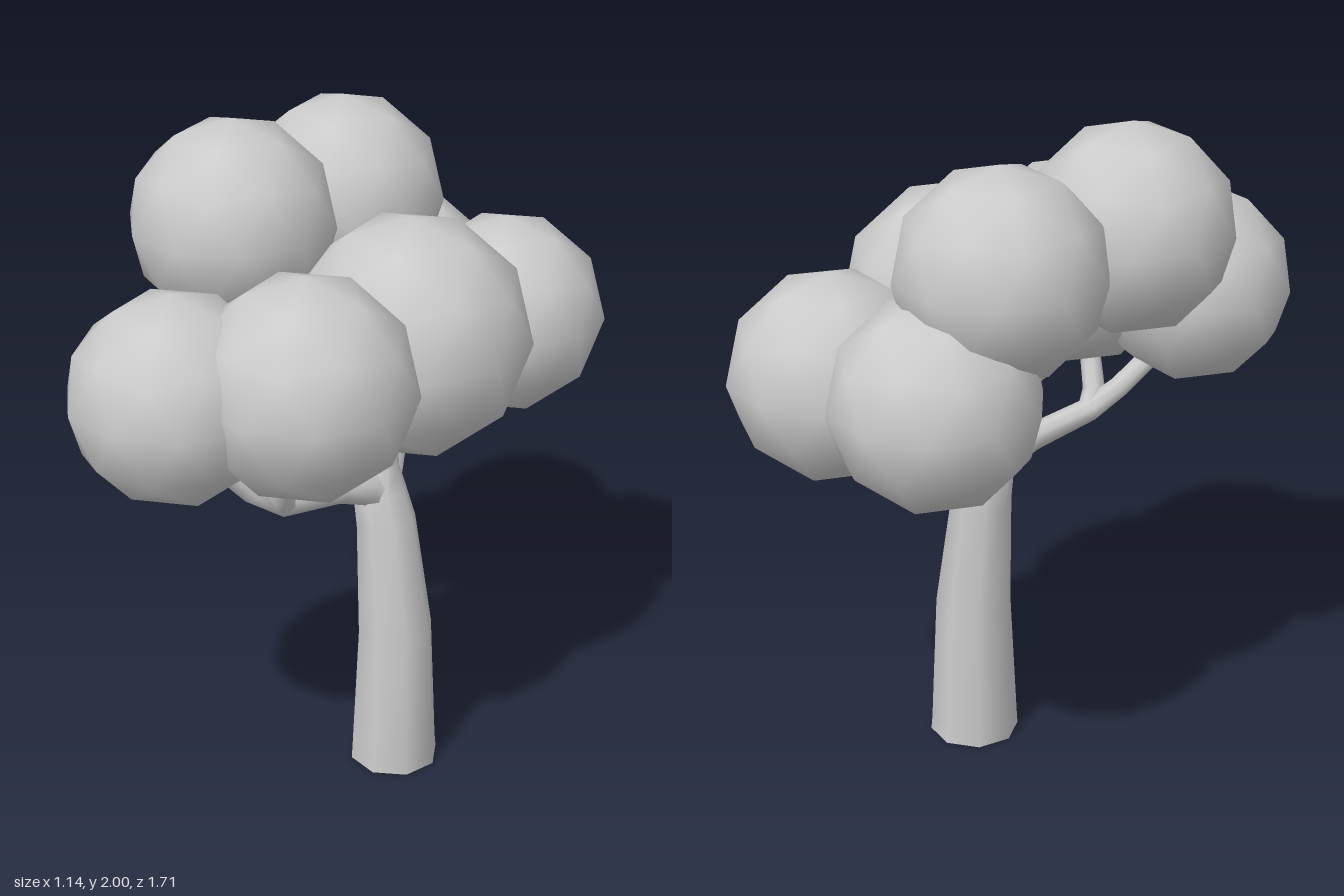
import * as THREE from 'three';

const material = new THREE.MeshStandardMaterial({ color: 0xcccccc });
const SIDES = 8;

// Smooth tapering limb through points [x, y, z, radius]
function limb(name, points) {
  const at = points.map(([x, y, z]) => new THREE.Vector3(x, y, z));
  const up = new THREE.Vector3(0, 1, 0);
  const positions = [], index = [];
  at.forEach((p, i) => {
    const before = at[Math.max(i - 1, 0)];
    const after = at[Math.min(i + 1, at.length - 1)];
    const dir = i === 0 && p.y === 0 ? up : after.clone().sub(before).normalize();
    const turn = new THREE.Quaternion().setFromUnitVectors(up, dir);
    for (let s = 0; s < SIDES; s++) {
      const a = (s / SIDES) * Math.PI * 2;
      const r = points[i][3];
      const v = new THREE.Vector3(Math.cos(a) * r, 0, Math.sin(a) * r).applyQuaternion(turn).add(p);
      positions.push(v.x, v.y, v.z);
      if (i > 0) {
        const n = (s + 1) % SIDES, lo = (i - 1) * SIDES, hi = i * SIDES;
        index.push(lo + s, hi + s, lo + n, lo + n, hi + s, hi + n);
      }
    }
  });
  const geometry = new THREE.BufferGeometry();
  geometry.setAttribute('position', new THREE.Float32BufferAttribute(positions, 3));
  geometry.setIndex(index);
  geometry.computeVertexNormals();
  const mesh = new THREE.Mesh(geometry, material);
  mesh.name = name;
  return mesh;
}

export function createModel() {
  const tree = new THREE.Group();
  tree.name = 'tree';

  // Leaning trunk with a flat underside
  tree.add(limb('trunk', [
    [0.185, 0, -0.06, 0.135], [0.184, 0.04, -0.06, 0.132], [0.183, 0.45, -0.06, 0.113],
    [0.148, 0.8, -0.06, 0.09], [0.125, 0.9, -0.06, 0.08], [0.135, 0.98, -0.06, 0.05],
    [0.145, 1.05, -0.06, 0.036], [0.16, 1.2, -0.06, 0.034],
  ]));
  const base = new THREE.Mesh(new THREE.CircleGeometry(0.135, SIDES).rotateX(Math.PI / 2), material);
  base.position.set(0.185, 0, -0.06);
  base.name = 'trunkBase';
  tree.add(base);

  // Front arm, forking to two leaf clumps
  tree.add(limb('frontArm', [
    [0.135, 0.87, -0.09, 0.07], [0.11, 0.93, 0.0, 0.055], [0.08, 0.955, 0.1, 0.04],
    [0.02, 0.99, 0.31, 0.036], [-0.03, 1.05, 0.39, 0.034], [-0.12, 1.18, 0.48, 0.032],
  ]));
  tree.add(limb('frontFork', [
    [0.02, 0.985, 0.3, 0.034], [0.04, 1.04, 0.355, 0.034], [0.09, 1.2, 0.39, 0.03],
  ]));

  // Rear arm, forking the same way
  tree.add(limb('rearArm', [
    [0.135, 0.87, -0.03, 0.07], [0.11, 0.93, -0.12, 0.055], [0.09, 0.955, -0.2, 0.042],
    [0.03, 1.04, -0.37, 0.036], [-0.01, 1.1, -0.43, 0.034], [-0.06, 1.22, -0.5, 0.032],
  ]));
  tree.add(limb('rearFork', [
    [0.03, 1.03, -0.35, 0.034], [0.09, 1.09, -0.42, 0.034], [0.2, 1.2, -0.49, 0.03],
  ]));

  // Leaf clumps: smooth icospheres with a corner pointing up
  const ball = new THREE.IcosahedronGeometry(1, 1).rotateZ(-Math.atan(2 / (1 + Math.sqrt(5))));
  const clumps = [
    [-0.285, 1.7, 0.065, 0.3], [-0.175, 1.665, -0.37, 0.3], [-0.095, 1.335, -0.555, 0.3],
    [0.28, 1.32, -0.54, 0.3], [0.215, 1.413, -0.06, 0.352], [0.143, 1.418, 0.4, 0.317],
    [-0.175, 1.375, 0.55, 0.3],
  ];
  clumps.forEach(([x, y, z, r], i) => {
    const clump = new THREE.Mesh(ball, material);
    clump.position.set(x, y, z);
    clump.scale.setScalar(r);
    clump.name = `leafClump${i + 1}`;
    tree.add(clump);
  });
  return tree;
}
